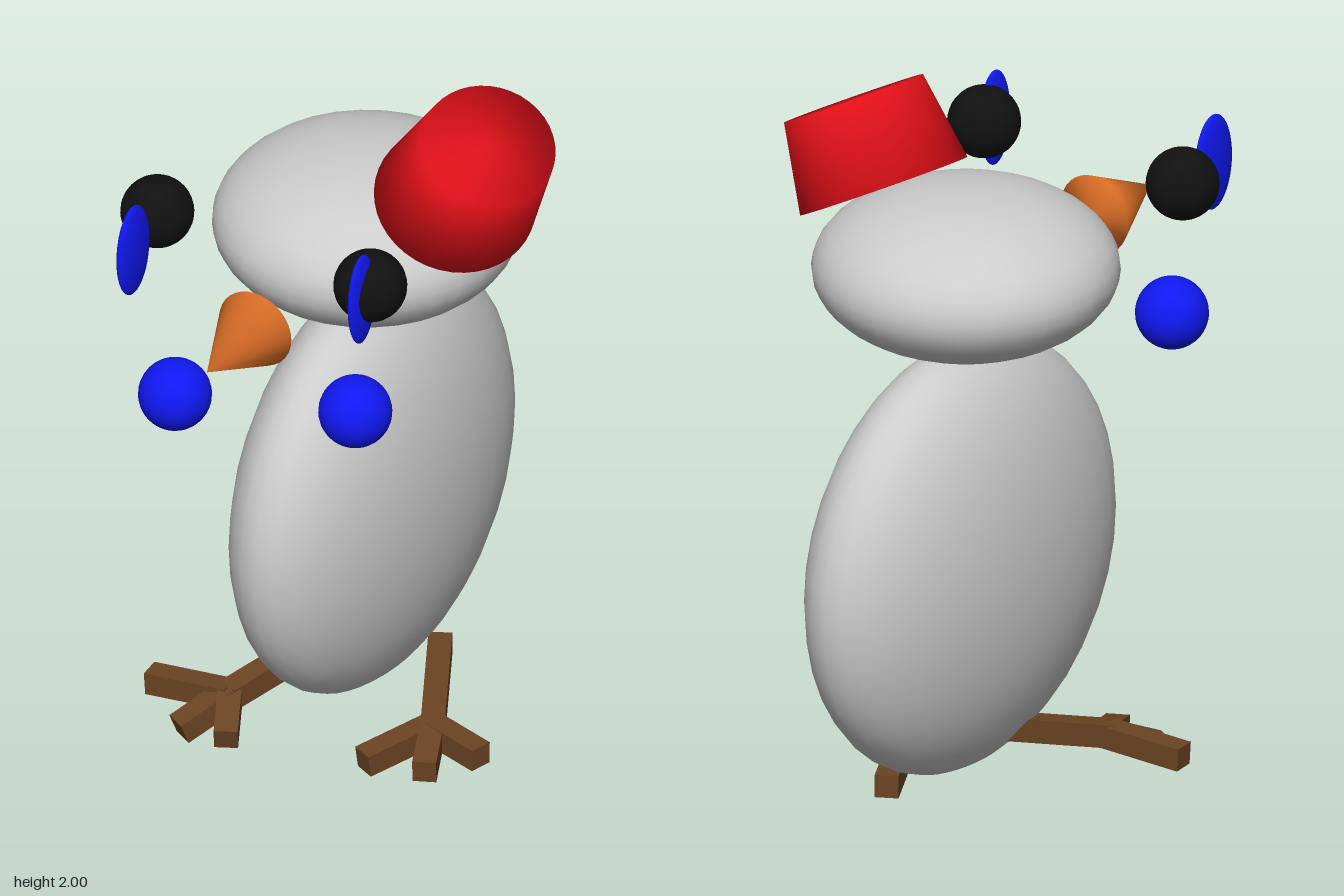
import * as THREE from 'three';
import { mergeVertices } from 'three/addons/utils/BufferGeometryUtils.js';

const paint = (color) => new THREE.MeshStandardMaterial({ color });
const grey = paint(0xcccccc);
const red = paint(0xe01018);
const black = paint(0x111111);
const blue = paint(0x1018f0);
const orange = paint(0xe07028);
const brown = paint(0x6b4423);

export function createModel() {
  const model = new THREE.Group();
  model.name = 'bird';

  const add = (name, geometry, material, position, parent = model) => {
    const mesh = new THREE.Mesh(geometry, material);
    mesh.name = name;
    mesh.position.set(...position);
    parent.add(mesh);
    return mesh;
  };

  const ellipsoid = (name, material, position, radii) =>
    add(name, new THREE.SphereGeometry(1, 32, 20).scale(...radii), material, position);

  // Weld the rims so caps and walls share smooth normals
  const weld = (geometry) => {
    geometry.deleteAttribute('uv');
    geometry.deleteAttribute('normal');
    const welded = mergeVertices(geometry);
    welded.computeVertexNormals();
    return welded;
  };

  // Square bar running between two points
  const bar = (name, from, to, parent) => {
    const a = new THREE.Vector3(...from);
    const b = new THREE.Vector3(...to);
    const mid = a.clone().add(b).multiplyScalar(0.5);
    const geometry = new THREE.BoxGeometry(0.065, 0.065, a.distanceTo(b));
    add(name, geometry, brown, mid.toArray(), parent).lookAt(b);
  };

  // Body and head
  ellipsoid('body', grey, [-0.035, 0.7, -0.117], [0.258, 0.613, 0.618]);
  ellipsoid('head', grey, [-0.035, 1.53, -0.09], [0.418, 0.225, 0.418]);

  // Beak
  const beak = weld(new THREE.ConeGeometry(0.113, 0.255, 32));
  beak.rotateX(Math.PI / 2);
  add('beak', beak, orange, [-0.045, 1.488, 0.607]);

  // Oval tilted hat, narrower at the top
  const hat = weld(new THREE.CylinderGeometry(0.22, 0.265, 0.25, 40).scale(0.83, 1, 1));
  add('hat', hat, red, [0.307, 1.8, -0.068]).rotation.set(0.1, 0, -0.49);

  // Eyes with thin upright pupils
  ellipsoid('rightEye', black, [-0.403, 1.7, 0.395], [0.1, 0.1, 0.1]);
  ellipsoid('leftEye', black, [0.28, 1.7, 0.42], [0.1, 0.1, 0.1]);
  ellipsoid('rightPupil', blue, [-0.368, 1.69, 0.582], [0.022, 0.138, 0.079]);
  ellipsoid('leftPupil', blue, [0.287, 1.69, 0.478], [0.02, 0.138, 0.065]);

  // Bow tie balls
  ellipsoid('rightBall', blue, [-0.264, 1.238, 0.535], [0.1, 0.1, 0.1]);
  ellipsoid('leftBall', blue, [0.196, 1.236, 0.358], [0.1, 0.1, 0.1]);

  // Feet: a long heel bar and three spread toes
  const foot = (name, heel, joint, toes) => {
    const group = new THREE.Group();
    group.name = name;
    model.add(group);
    bar('heel', heel, joint, group);
    toes.forEach((toe) => bar('toe', joint, toe, group));
  };
  foot('rightFoot', [-0.08, 0.22, -0.14], [-0.27, 0.11, 0.235],
    [[-0.51, 0.095, 0.255], [-0.35, 0.047, 0.37], [-0.2, 0.065, 0.375]]);
  foot('leftFoot', [0.05, 0.068, -0.335], [0.25, 0.065, 0.04],
    [[0.15, 0.035, 0.24], [0.33, 0.05, 0.22], [0.43, 0.06, 0.09]]);

  return model;
}
